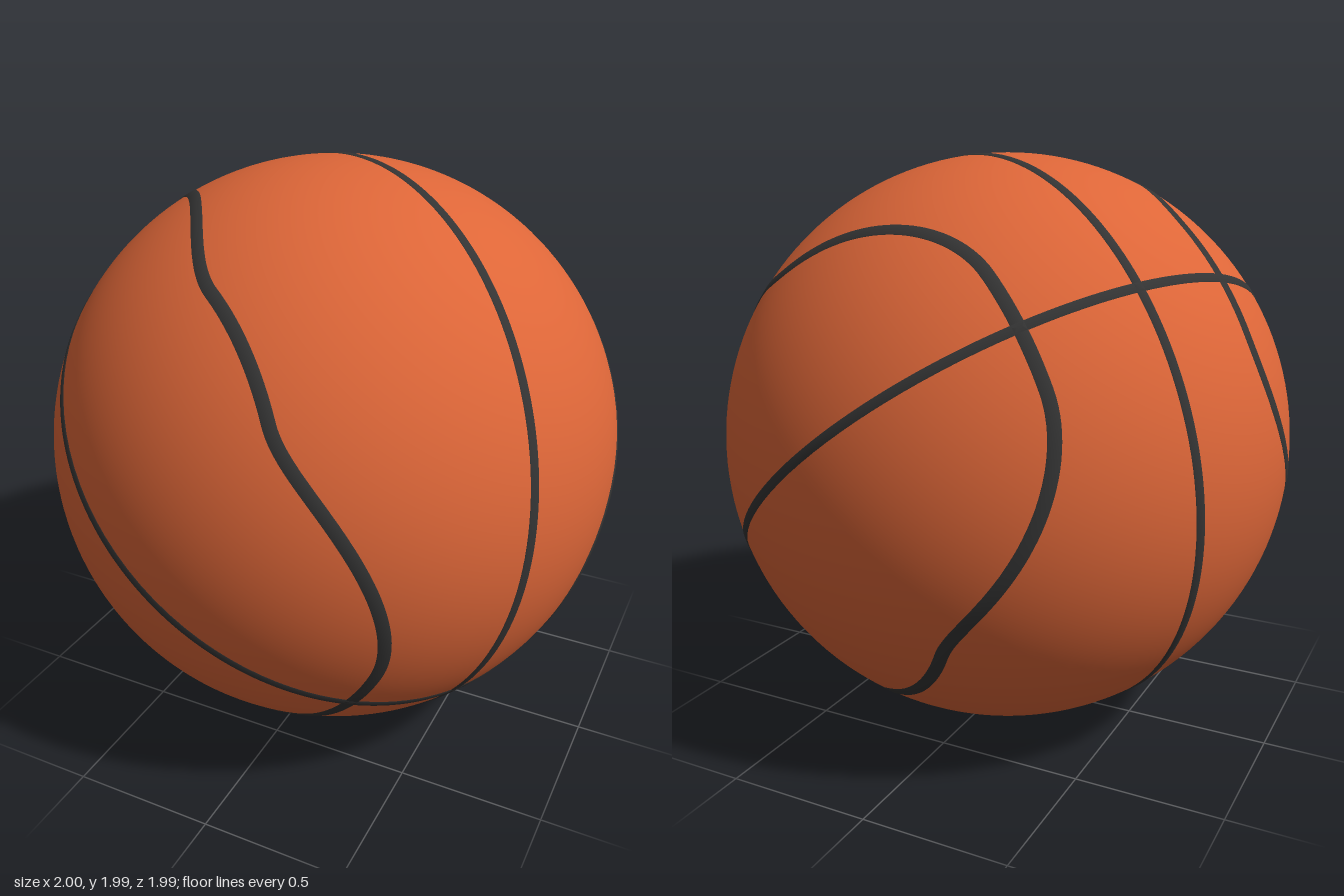
import * as THREE from 'three';

// Ball axes: seams cross on the pole axis; each oval seam circles the side axis.
const side = new THREE.Vector3(-0.482, 0.112, 0.869).normalize();
const pole = new THREE.Vector3(0.647, -0.622, 0.44);
pole.addScaledVector(side, -pole.dot(side)).normalize();
const third = new THREE.Vector3().crossVectors(pole, side);

const SEGMENTS = 240;
const BALL_RADIUS = 0.997;

// Unit point from its components along the three ball axes
function point(u, v, w) {
  return new THREE.Vector3()
    .addScaledVector(side, u)
    .addScaledVector(pole, v)
    .addScaledVector(third, w)
    .normalize();
}

// Closed, slightly rounded band that follows a path on the sphere
function seamGeometry(path, width) {
  const section = [[-0.5, 0.99], [-0.4, 1], [0.4, 1], [0.5, 0.99]];
  const n = section.length;
  const positions = [];
  const index = [];
  for (let i = 0; i < SEGMENTS; i++) {
    const a = (i / SEGMENTS) * Math.PI * 2;
    const p = path(a);
    const tangent = path(a + 0.005).sub(path(a - 0.005)).normalize();
    const across = new THREE.Vector3().crossVectors(p, tangent).normalize();
    for (const [s, r] of section) {
      const q = p.clone().addScaledVector(across, s * width).normalize().multiplyScalar(r);
      positions.push(q.x, q.y, q.z);
    }
    const next = (i + 1) % SEGMENTS;
    for (let j = 0; j < n - 1; j++) {
      const a0 = i * n + j;
      const b0 = next * n + j;
      index.push(a0, b0, a0 + 1, b0, b0 + 1, a0 + 1);
    }
  }
  const geometry = new THREE.BufferGeometry();
  geometry.setAttribute('position', new THREE.Float32BufferAttribute(positions, 3));
  geometry.setIndex(index);
  geometry.computeVertexNormals();
  return geometry;
}

// Great circles through the poles
const mainCircle = (a) => point(0, Math.cos(a), Math.sin(a));
const crossCircle = (a) => point(Math.sin(a), Math.cos(a), 0);

// Oval seam: dips towards the poles and runs nearly straight between them
const oval = (sign) => (a) => {
  const phi = THREE.MathUtils.radToDeg(Math.acos(Math.min(1, Math.abs(Math.cos(a)))));
  const u = 0.39 + 0.31 * THREE.MathUtils.smoothstep(phi, 12, 72);
  const r = Math.sqrt(1 - u * u);
  return point(sign * u, r * Math.cos(a), r * Math.sin(a));
};

export function createModel() {
  const orange = new THREE.MeshStandardMaterial({ color: 0xdd6638 });
  orange.name = 'orange leather';
  const black = new THREE.MeshStandardMaterial({ color: 0x343434, side: THREE.DoubleSide });
  black.name = 'seam black';

  const group = new THREE.Group();
  group.name = 'ball';

  const add = (name, geometry, material) => {
    const mesh = new THREE.Mesh(geometry, material);
    mesh.name = name;
    mesh.position.y = 1;
    group.add(mesh);
  };

  add('ballSurface', new THREE.SphereGeometry(BALL_RADIUS, 128, 80), orange);
  add('mainCircleSeam', seamGeometry(mainCircle, 0.037), black);
  add('crossCircleSeam', seamGeometry(crossCircle, 0.037), black);
  add('frontOvalSeam', seamGeometry(oval(1), 0.049), black);
  add('backOvalSeam', seamGeometry(oval(-1), 0.049), black);

  return group;
}
